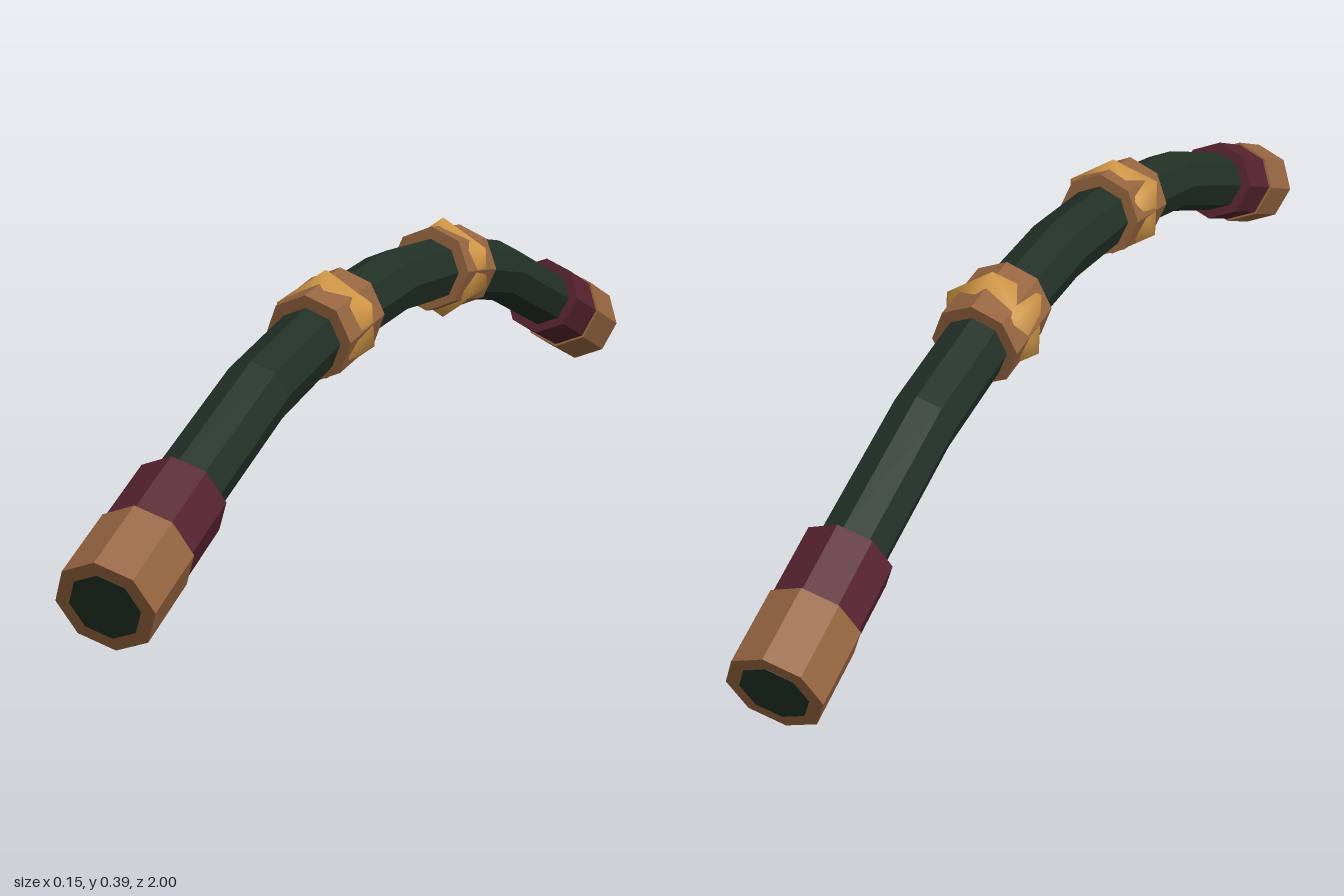
import * as THREE from 'three';
import { mergeVertices } from 'three/addons/utils/BufferGeometryUtils.js';

const SIDES = 8;
const TILT = 0.385; // slope angle of the grip ends
const END = { y: 0.0695, z: 0.972 };

function material(name, color) {
  const m = new THREE.MeshStandardMaterial({ color });
  m.name = name;
  return m;
}

// Faceted normals without touching the material
function faceted(geometry) {
  const g = geometry.toNonIndexed();
  g.computeVertexNormals();
  return g;
}

// Octagonal cylinder lying along z
function bar(radius, length, segments = 1) {
  return new THREE.CylinderGeometry(radius, radius, length, SIDES, segments).rotateX(Math.PI / 2);
}

// Bend a straight bar so its rings follow the arch
function archGeometry() {
  const half = [[0, 0.323], [0.25, 0.305], [0.5, 0.253], [0.75, 0.158], [END.z, END.y]];
  const slopes = [0, 0.14, 0.29, 0.38, TILT];
  const g = bar(0.053, 8, 8);
  const p = g.attributes.position;
  for (let i = 0; i < p.count; i++) {
    const k = Math.round(p.getZ(i));
    const s = Math.sign(k);
    const [z, y] = half[Math.abs(k)];
    const a = slopes[Math.abs(k)] * s;
    const r = p.getY(i);
    p.setXYZ(i, p.getX(i), y + r * Math.cos(a), z * s + r * Math.sin(a));
  }
  return faceted(g);
}

// Smooth-shaded twenty-sided bead, one corner up and one toward +x
function beadGeometry(radius) {
  const ring = radius * 2 / Math.sqrt(5), h = radius / Math.sqrt(5);
  const verts = [0, radius, 0, 0, -radius, 0], faces = [];
  for (let i = 0; i < 5; i++) {
    const a = i * Math.PI * 0.4, b = a + Math.PI / 5;
    verts.push(ring * Math.cos(a), h, ring * Math.sin(a));
    verts.push(ring * Math.cos(b), -h, ring * Math.sin(b));
    const u = 2 + i * 2, l = u + 1, u2 = 2 + ((i + 1) % 5) * 2, l2 = u2 + 1;
    faces.push(0, u2, u, u, u2, l, l, u2, l2, 1, l, l2);
  }
  const g = new THREE.PolyhedronGeometry(verts, faces, radius, 0);
  g.deleteAttribute('uv');
  g.deleteAttribute('normal');
  const smooth = mergeVertices(g, 1e-4);
  smooth.computeVertexNormals();
  return smooth;
}

export function createModel() {
  const green = material('dark green', 0x223026);
  const copper = material('copper brown', 0x966540);
  const wine = material('wine red', 0x56232f);
  const gold = material('gold', 0xd59a47);

  const model = new THREE.Group();
  model.name = 'archedHandle';

  function add(parent, name, geometry, mat, x = 0, y = 0, z = 0) {
    const mesh = new THREE.Mesh(geometry, mat);
    mesh.name = name;
    mesh.position.set(x, y, z);
    parent.add(mesh);
    return mesh;
  }

  add(model, 'archedShaft', archGeometry(), green);

  const capGeometry = faceted(bar(0.074, 0.125));
  const bandGeometry = faceted(bar(0.07, 0.12));
  const coreGeometry = faceted(bar(0.053, 0.02));
  const collarGeometry = faceted(bar(0.07, 0.134));
  const bead = beadGeometry(0.085);

  for (const s of [1, -1]) {
    const side = s > 0 ? 'front' : 'back';

    // End cap, band and exposed shaft end, built outward along the tilted axis
    const end = new THREE.Group();
    end.name = side + 'End';
    end.position.set(0, END.y, s * END.z);
    end.rotation.x = s * TILT;
    add(end, side + 'Cap', capGeometry, copper, 0, 0, -s * 0.0625);
    add(end, side + 'Band', bandGeometry, wine, 0, 0, -s * 0.183);
    add(end, side + 'ShaftEnd', coreGeometry, green, 0, 0, -s * 0.009);
    model.add(end);

    // Collar with a gold bead pushing through it
    const collar = add(model, side + 'Collar', collarGeometry, copper, 0, 0.304, s * 0.247);
    collar.rotation.x = s * 0.14;
    add(model, side + 'Bead', bead, gold, 0, 0.304, s * 0.245);
  }
  return model;
}
